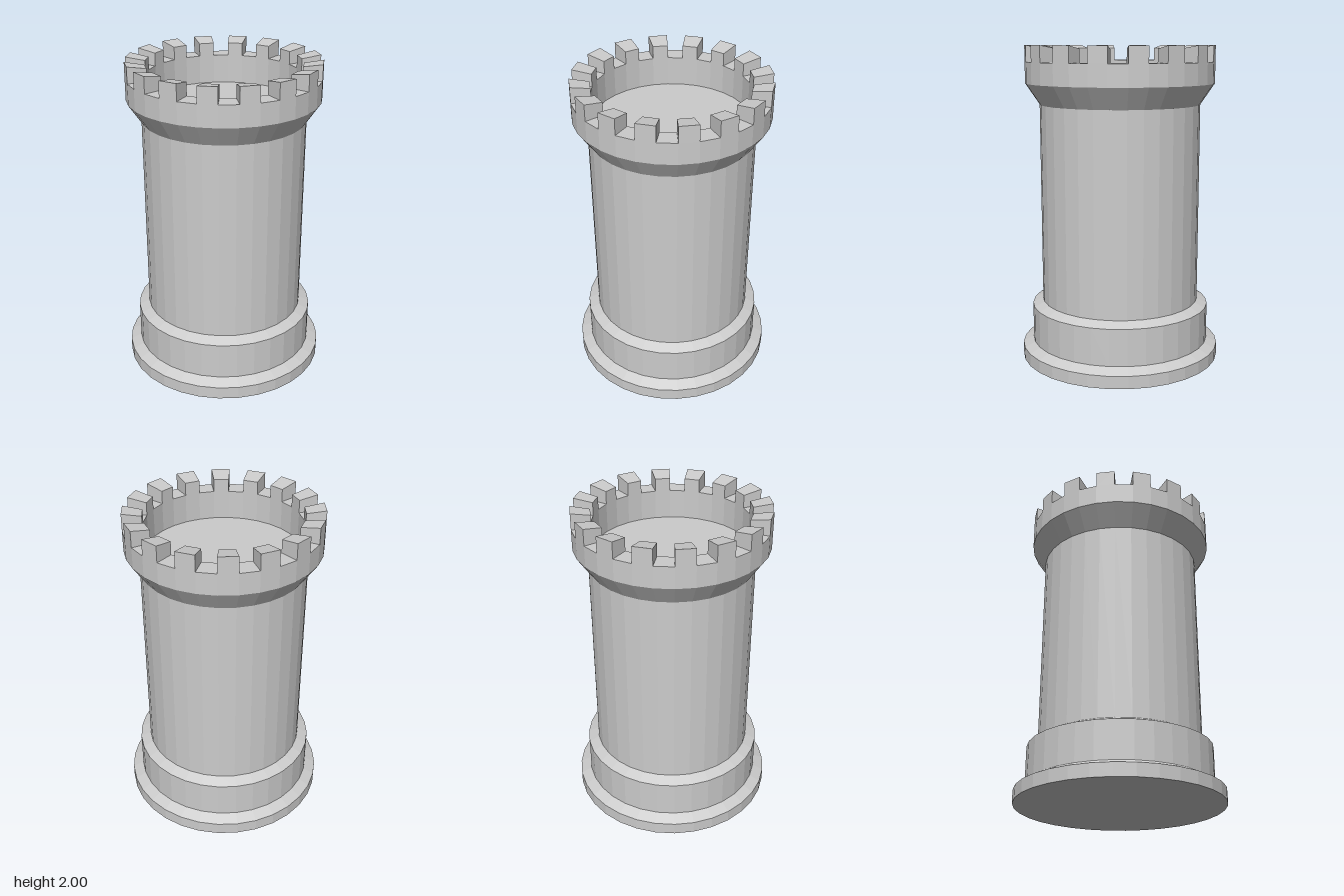
import * as THREE from 'three';

const SIDES = 32;
const STEP = (Math.PI * 2) / SIDES;
const OUTER = 0.592, INNER = 0.474;
const material = new THREE.MeshStandardMaterial({ color: 0xcccccc, flatShading: true });

// Faceted ring or solid turned from [radius, height] pairs
function turned(name, profile) {
  const points = profile.map(([r, y]) => new THREE.Vector2(r, y));
  const mesh = new THREE.Mesh(new THREE.LatheGeometry(points, SIDES), material);
  mesh.name = name;
  return mesh;
}

// A box bent to fill one facet of the parapet, its top sloping gently inward
function merlonGeometry() {
  const geometry = new THREE.BoxGeometry(1, 1, 1);
  const pos = geometry.attributes.position;
  for (let i = 0; i < pos.count; i++) {
    const angle = (pos.getX(i) + 0.5) * STEP;
    const outside = pos.getZ(i) > 0;
    const r = outside ? OUTER : INNER;
    const y = pos.getY(i) < 0 ? 1.9 : outside ? 2 : 1.98;
    pos.setXYZ(i, r * Math.sin(angle), y, r * Math.cos(angle));
  }
  geometry.computeVertexNormals();
  return geometry;
}

export function createModel() {
  const tower = new THREE.Group();
  tower.name = 'tower';

  // Stepped base
  tower.add(turned('foot', [[0, 0], [0.638, 0], [0.638, 0.08], [0.57, 0.113]]));
  tower.add(turned('plinth', [[0.57, 0.113], [0.57, 0.347], [0.504, 0.378]]));

  // Shaft
  tower.add(turned('shaft', [[0.504, 0.378], [0.504, 1.637]]));

  // Flared parapet with its sunken floor
  tower.add(turned('parapet', [
    [0.504, 1.637], [OUTER, 1.768], [OUTER, 1.9], [INNER, 1.9], [INNER, 1.72],
  ]));
  tower.add(turned('floor', [[INNER, 1.72], [0, 1.72]]));

  // Merlons on every second facet
  const merlons = new THREE.Group();
  merlons.name = 'merlons';
  const geometry = merlonGeometry();
  for (let i = 1; i < SIDES; i += 2) {
    const merlon = new THREE.Mesh(geometry, material);
    merlon.name = 'merlon';
    merlon.rotation.y = i * STEP;
    merlons.add(merlon);
  }
  tower.add(merlons);

  return tower;
}
